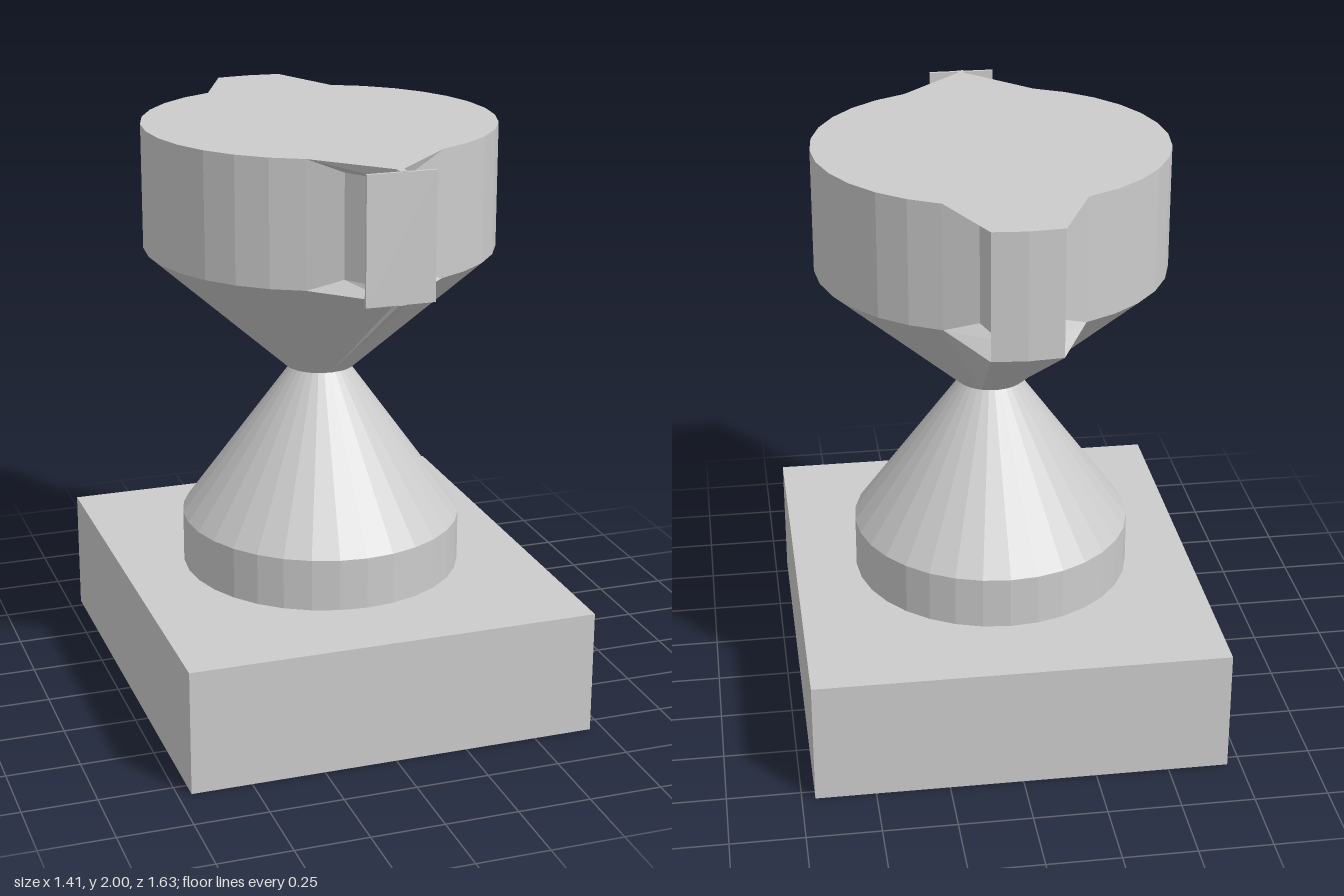
import * as THREE from 'three';

const material = new THREE.MeshStandardMaterial({ color: 0xcccccc, flatShading: true });
const RIM = 1.575, TOP = 2, NECK = 1.145;

function add(group, name, geometry, x, y, z) {
  const mesh = new THREE.Mesh(geometry, material);
  mesh.name = name;
  mesh.position.set(x, y, z);
  group.add(mesh);
  return mesh;
}

// Collects quads and triangles for one half and mirrors each across x = 0
function mirroredBuilder() {
  const pos = [];
  const tri = (a, b, c) => {
    for (const p of [a, b, c]) pos.push(...p);
    for (const p of [a, c, b]) pos.push(-p[0], p[1], p[2]);
  };
  const quad = (a, b, c, d) => { tri(a, b, c); tri(a, c, d); };
  const build = () => {
    const g = new THREE.BufferGeometry();
    g.setAttribute('position', new THREE.Float32BufferAttribute(pos, 3));
    g.computeVertexNormals();
    return g;
  };
  return { tri, quad, build };
}

// Half outline of the head, from the front tip round to the back lobe
function headOutline() {
  const pts = [[0, 0.81], [0.012, 0.81], [0.012, 0.78]];
  for (let i = 0; i <= 12; i++) {
    const a = THREE.MathUtils.degToRad(67.5 - i * 11.25);
    pts.push([0.6 * Math.cos(a), 0.6 * Math.sin(a) + 0.005]);
  }
  pts.push([0.115, -0.81], [0, -0.82]);
  return pts;
}

function headGeometry() {
  const { tri, quad, build } = mirroredBuilder();
  const outline = headOutline();
  const at = ([x, z], y) => [x, y, z];
  const low = ([x, z]) => {
    const a = Math.atan2(z, x);
    return [0.12 * Math.cos(a), NECK, 0.12 * Math.sin(a) + 0.012];
  };
  // Sunken panels in the sides of both lobes, keyed by outline segment
  const panels = {
    2: [[0.008, 0.765], [0.12, 0.61]],
    15: [[0.12, -0.60], [0.075, -0.75]],
  };
  for (let i = 0; i < outline.length - 1; i++) {
    const a = outline[i], b = outline[i + 1];
    const ring = [at(a, RIM), at(b, RIM), at(b, TOP), at(a, TOP)];
    const panel = panels[i];
    if (panel) {
      const [p, q] = panel;
      const inner = [at(p, 1.615), at(q, 1.615), at(q, 1.96), at(p, 1.96)];
      for (let k = 0; k < 4; k++) {
        const n = (k + 1) % 4;
        quad(ring[k], ring[n], inner[n], inner[k]);
      }
      quad(...inner);
    } else {
      quad(...ring);
    }
    tri([0, TOP, 0], ring[3], ring[2]);
    quad(low(a), low(b), ring[1], ring[0]);
    tri([0, NECK, 0.012], low(b), low(a));
  }
  return build();
}

export function createModel() {
  const group = new THREE.Group();
  group.name = 'pedestal';

  // Square base
  add(group, 'base', new THREE.BoxGeometry(1.41, 0.43, 1.6), 0, 0.215, 0.01);

  // Round plinth and tapering stem
  const plinth = add(group, 'plinth', new THREE.CylinderGeometry(0.485, 0.485, 0.18, 32), 0, 0.52, 0.015);
  const stem = add(group, 'stem', new THREE.CylinderGeometry(0.1, 0.485, 0.535, 32), 0, 0.8775, 0.015);
  plinth.scale.z = stem.scale.z = 1.035;

  // Flared head with lobes front and back
  add(group, 'head', headGeometry(), 0, 0, 0);

  // Thin plate on the front tip
  add(group, 'frontPlate', new THREE.BoxGeometry(0.23, TOP - RIM - 0.005, 0.012), -0.005, (TOP + RIM) / 2, 0.806);

  return group;
}
